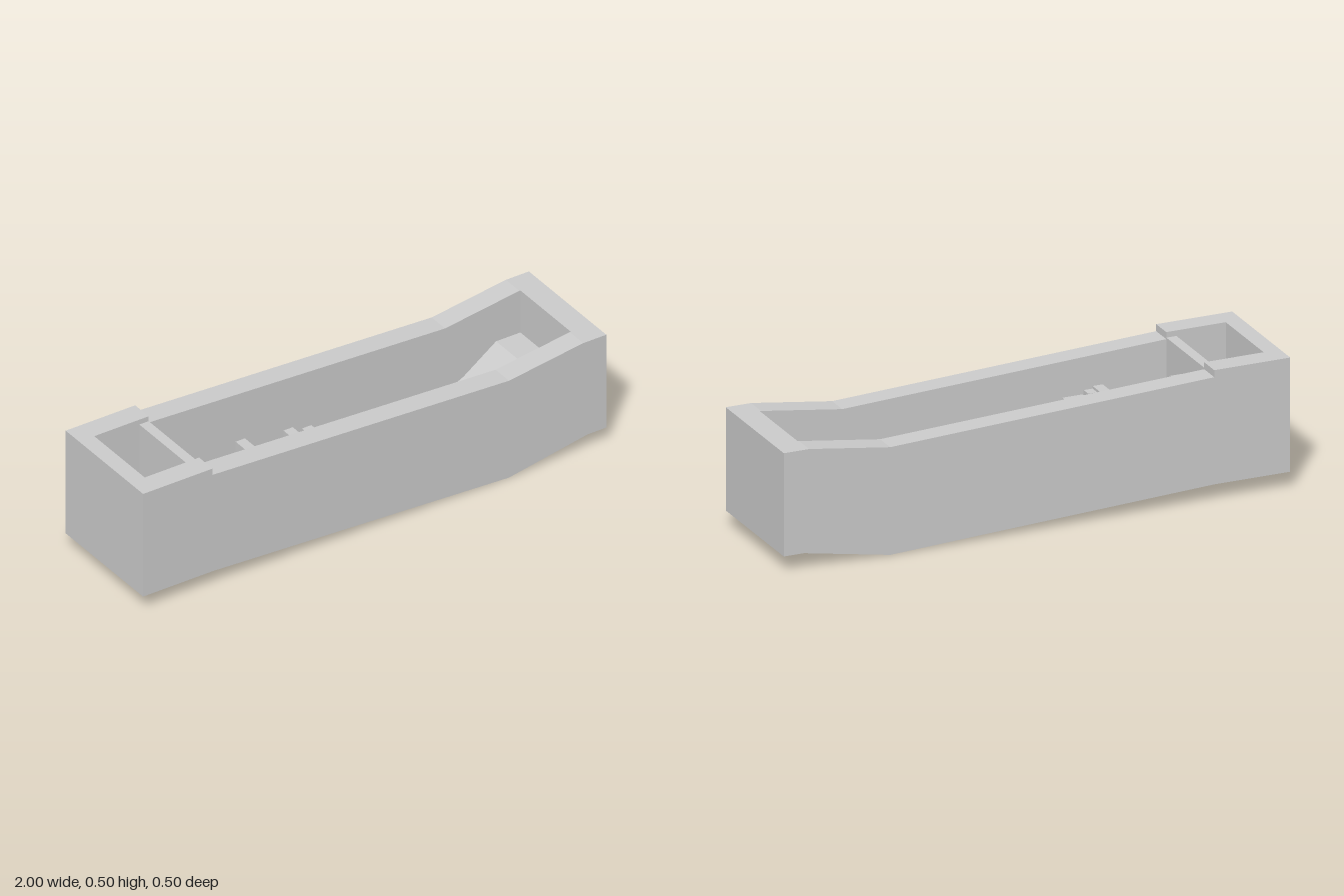
import * as THREE from 'three';

const HALF = 0.25;   // half the hull's width
const INNER = 0.163; // half the well's width

export function createModel() {
  const group = new THREE.Group();
  const material = new THREE.MeshStandardMaterial({ color: 0xcccccc, flatShading: true });

  const add = (name, geometry) => {
    const mesh = new THREE.Mesh(geometry, material);
    mesh.name = name;
    group.add(mesh);
    return mesh;
  };

  // Side profile (x, y) extruded from z0 to z1
  const slab = (name, points, z0, z1) => {
    const shape = new THREE.Shape(points.map(([x, y]) => new THREE.Vector2(x, y)));
    const geometry = new THREE.ExtrudeGeometry(shape, { depth: z1 - z0, bevelEnabled: false });
    return add(name, geometry.translate(0, 0, z0));
  };

  // Box given by its limits
  const block = (name, x0, x1, y0, y1, z0, z1) =>
    add(name, new THREE.BoxGeometry(x1 - x0, y1 - y0, z1 - z0)
      .translate((x0 + x1) / 2, (y0 + y1) / 2, (z0 + z1) / 2));

  // Long side walls with the raised end and the bent underside
  const wall = [
    [-1, 0.063], [-0.7, 0.063], [0.58, 0], [0.92, 0.062], [1, 0.062],
    [1, 0.46], [0.9, 0.46], [0.58, 0.415], [-0.7, 0.476], [-0.7, 0.503], [-1, 0.503],
  ];
  slab('leftSideWall', wall, INNER, HALF);
  slab('rightSideWall', wall, -HALF, -INNER);

  // Raised end: outer wall, compartment floor and bulkhead in one section
  slab('endCompartment', [
    [-1, 0.063], [-0.7, 0.063], [-0.7, 0.482], [-0.74, 0.482],
    [-0.74, 0.145], [-0.935, 0.145], [-0.935, 0.503], [-1, 0.503],
  ], -INNER, INNER);

  // Low end: outer wall, ledge and ramp that overhangs the bottom opening
  slab('endRamp', [
    [0.58, 0], [0.92, 0.062], [1, 0.062], [1, 0.46], [0.905, 0.46], [0.905, 0.28],
    [0.8, 0.28], [0.66, 0.18], [0.58, 0.14], [0.48, 0.1], [0.415, 0.09],
    [0.415, 0.04], [0.48, 0.04], [0.48, 0.08], [0.58, 0.12],
  ], -INNER, INNER);

  // Floating stepping blocks climbing from the ramp: [x, z, base height]
  const steps = [
    [0.32, 0, 0.04], [0.24, 0, 0.05], [0.16, 0, 0.065], [0.08, 0, 0.08],
    [0, 0.14, 0.12], [-0.06, 0.15, 0.15], [-0.06, 0.08, 0.18],
    [-0.06, 0, 0.2], [-0.06, -0.08, 0.22], [-0.14, -0.08, 0.24],
  ];
  for (const [x, z, y] of steps) {
    block('steppingBlock', x - 0.02, x + 0.02, y, y + 0.04, z - 0.02, Math.min(z + 0.02, INNER));
  }
  block('firstStep', 0.36, 0.415, 0.04, 0.08, -0.02, 0.02);
  block('crossBeam', 0.06, 0.1, 0.09, 0.13, 0.04, INNER);

  // Small stair leading up to a platform
  const treads = 8;
  for (let i = 0; i < treads; i++) {
    const z = -0.065 + i * 0.012;
    const y = 0.24 + i * 0.01;
    block('stairTread', -0.32, -0.28, y, y + 0.01, z, z + 0.01);
  }
  block('platform', -0.345, -0.265, 0.3, 0.34, 0.03, 0.11);
  block('walkway', -0.385, -0.345, 0.32, 0.36, 0.06, 0.1);
  block('walkwayTurn', -0.42, -0.38, 0.33, 0.37, -0.02, 0.1);

  // Landing on the bulkhead
  block('bulkheadLanding', -0.7, -0.66, 0.345, 0.385, -0.04, 0.04);

  return group;
}
